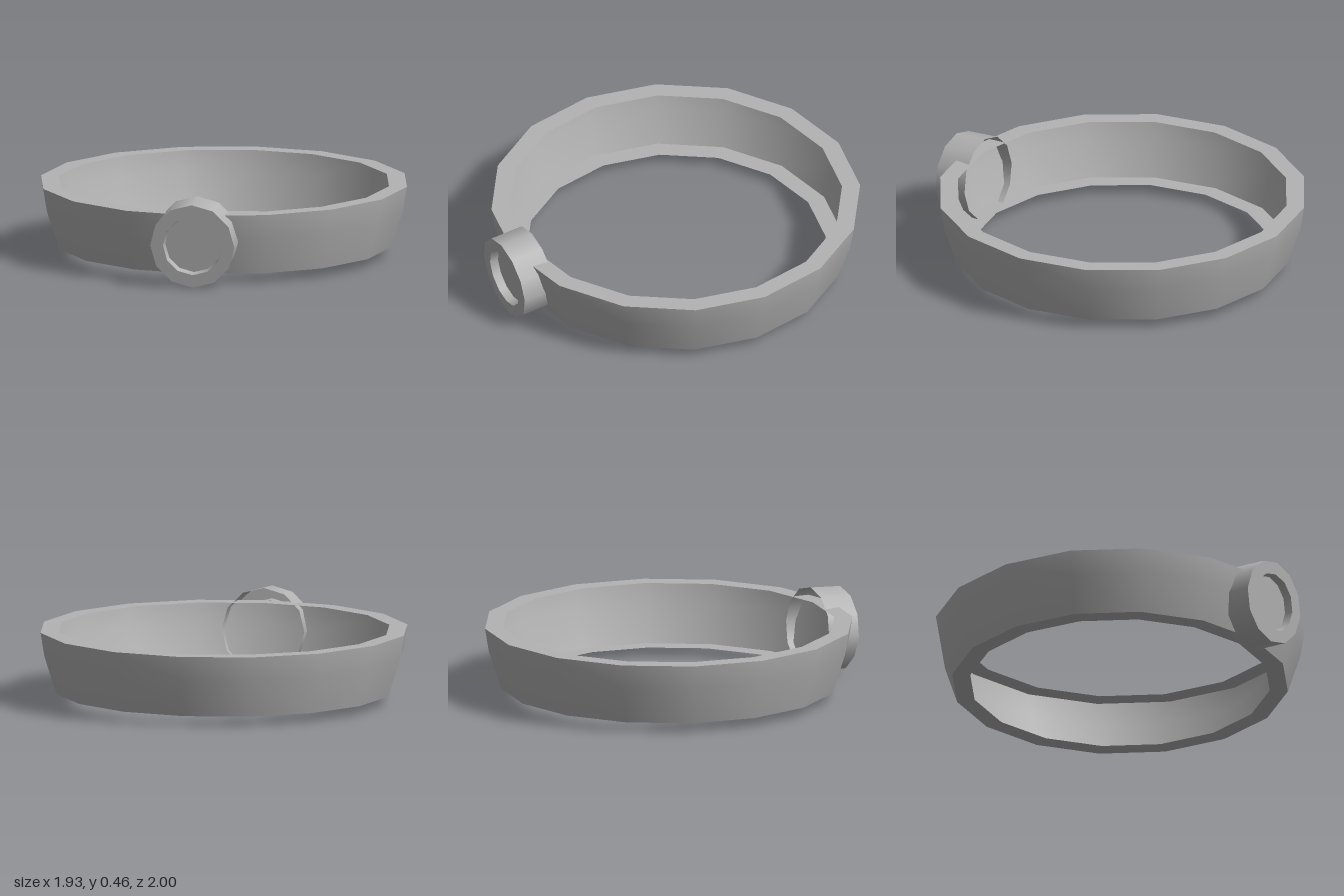
import * as THREE from 'three';

const metal = new THREE.MeshStandardMaterial({ color: 0xb3b3b3, side: THREE.DoubleSide });
metal.name = 'grey metal';

// Revolves a profile of [radius, height] points, bottom to top
function lathe(name, points, sides) {
  const profile = points.map(([r, y]) => new THREE.Vector2(r, y));
  const mesh = new THREE.Mesh(new THREE.LatheGeometry(profile, sides), metal);
  mesh.name = name;
  return mesh;
}

export function createModel() {
  const model = new THREE.Group();
  model.name = 'bandWithMedallion';

  // Thin flared band with inward lips, open on the inside
  const band = new THREE.Group();
  band.name = 'band';
  band.add(
    lathe('bottomLip', [[0.785, 0.05], [0.88, 0.05]], 16),
    lathe('bandWall', [[0.88, 0.05], [0.945, 0.25], [0.965, 0.375]], 16),
    lathe('topLip', [[0.965, 0.375], [0.87, 0.375]], 16)
  );
  band.position.z = -0.035;
  model.add(band);

  // Twelve-sided medallion, open at the back, with a recessed front
  const medallion = new THREE.Group();
  medallion.name = 'medallion';
  medallion.add(
    lathe('medallionSide', [[0.222, -0.09], [0.222, 0.09]], 12),
    lathe('medallionRim', [[0.222, 0.09], [0.155, 0.09]], 12),
    lathe('recessWall', [[0.155, 0.09], [0.15, 0.045]], 12),
    lathe('recessFace', [[0.15, 0.045], [0, 0.045]], 12)
  );
  medallion.rotation.x = Math.PI / 2 + 0.079;
  medallion.position.set(0, 0.2285, 0.8925);
  model.add(medallion);

  return model;
}
